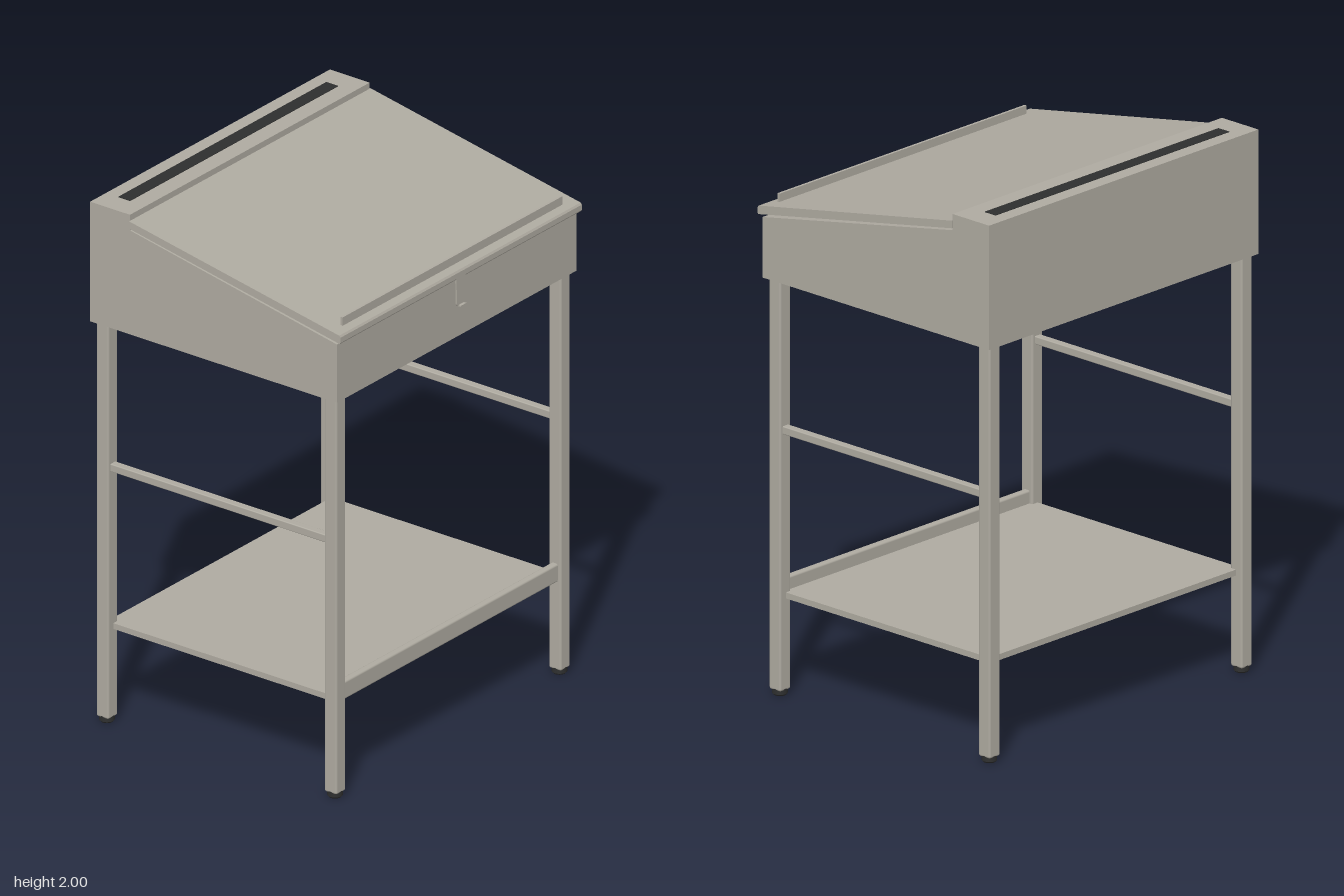
import * as THREE from 'three';
import { RoundedBoxGeometry } from 'three/addons/geometries/RoundedBoxGeometry.js';

const paint = new THREE.MeshStandardMaterial({ color: 0xaeaaa0 });
paint.name = 'warm grey paint';
const black = new THREE.MeshStandardMaterial({ color: 0x2e2f2f });
black.name = 'black rubber';

export function createModel() {
  const group = new THREE.Group();

  const add = (name, geometry, material, x = 0, y = 0, z = 0) => {
    const mesh = new THREE.Mesh(geometry, material);
    mesh.name = name;
    mesh.position.set(x, y, z);
    group.add(mesh);
    return mesh;
  };

  // Box given by its limits on each axis, optionally with rounded edges
  const box = (name, [x0, x1], [y0, y1], [z0, z1], material = paint, r = 0) => {
    const size = [x1 - x0, y1 - y0, z1 - z0];
    const geometry = r ? new RoundedBoxGeometry(...size, 2, r) : new THREE.BoxGeometry(...size);
    return add(name, geometry, material, (x0 + x1) / 2, (y0 + y1) / 2, (z0 + z1) / 2);
  };

  // Side profile of [z, y] points swept across the width
  const sweep = (name, points, width) => {
    const shape = new THREE.Shape(points.map(([z, y]) => new THREE.Vector2(z, y)));
    const geometry = new THREE.ExtrudeGeometry(shape, { depth: width, bevelEnabled: false });
    geometry.rotateY(-Math.PI / 2).translate(width / 2, 0, 0);
    return add(name, geometry, paint);
  };

  // Sloped cabinet with a raised ledge at the back
  sweep('cabinet', [
    [-0.555, 1.54], [0.53, 1.54], [0.53, 1.764], [-0.38, 1.94], [-0.38, 2], [-0.555, 2],
  ], 1.362);

  // Sloped lid, a narrow gap above the cabinet, with a softened front edge
  sweep('lid', [
    [-0.382, 1.949], [0.52, 1.777], [0.546, 1.772], [0.549, 1.777],
    [0.549, 1.797], [0.544, 1.804], [-0.382, 1.977],
  ], 1.372);

  // Stop bar, ventilation strip and front latch
  box('stopBar', [-0.625, 0.625], [1.805, 1.842], [0.502, 0.512]);
  box('ventStrip', [-0.592, 0.59], [1.996, 2.002], [-0.5, -0.448], black);
  const tongue = new THREE.Shape();
  tongue.moveTo(-0.026, 1.778).lineTo(-0.023, 1.68);
  tongue.quadraticCurveTo(-0.022, 1.668, -0.012, 1.668).lineTo(0.012, 1.668);
  tongue.quadraticCurveTo(0.022, 1.668, 0.023, 1.68).lineTo(0.026, 1.778);
  add('latch', new THREE.ExtrudeGeometry(tongue, { depth: 0.006, bevelEnabled: false }), paint, 0, 0, 0.543);
  box('latchLip', [-0.016, 0.016], [1.668, 1.673], [0.543, 0.56]);

  // Legs, feet and side rails
  for (const side of [-1, 1]) {
    const x = side * 0.6375;
    for (const z of [0.488, -0.515]) {
      box('leg', [x - 0.0275, x + 0.0275], [0.02, 1.55], [z - 0.0275, z + 0.0275], paint, 0.008);
      add('foot', new THREE.CylinderGeometry(0.0275, 0.0275, 0.02, 20), black, x, 0.016, z);
      add('footBase', new THREE.CylinderGeometry(0.0275, 0.022, 0.006, 20), black, x, 0.003, z);
    }
    box('sideRail', [x - 0.015, x + 0.015], [0.97, 1], [-0.5, 0.475], paint, 0.004);
  }

  // Lower shelf and its front rail
  box('shelf', [-0.637, 0.637], [0.36, 0.382], [-0.515, 0.488]);
  box('shelfFrontRail', [-0.63, 0.63], [0.36, 0.43], [0.474, 0.502], paint, 0.008);

  return group;
}
